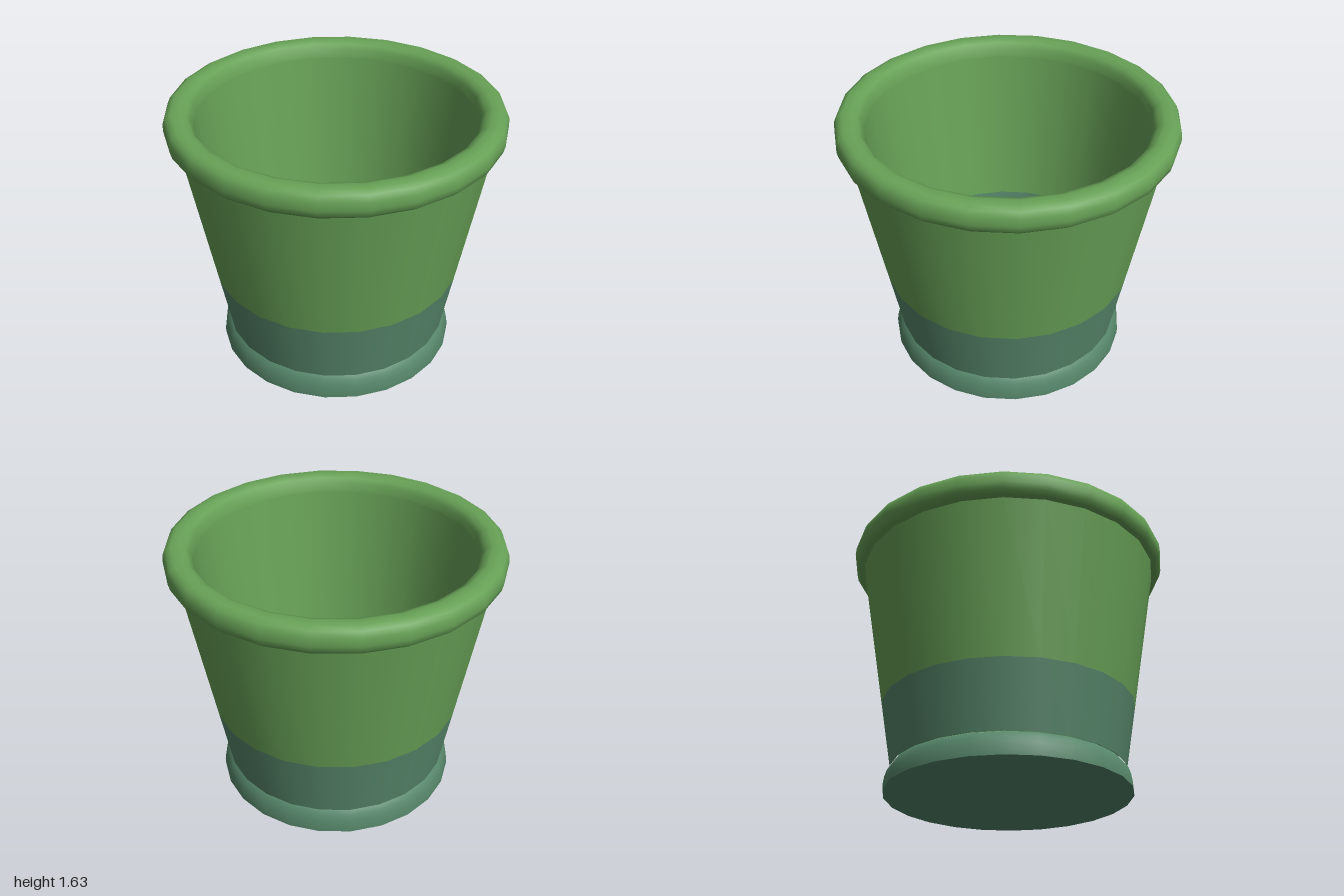
import * as THREE from 'three';

const SIDES = 24;

export function createModel() {
  const pot = new THREE.Group();
  pot.name = 'flowerPot';

  const green = new THREE.MeshStandardMaterial({ color: 0x68a257 });
  green.name = 'leafGreen';
  const teal = new THREE.MeshStandardMaterial({ color: 0x57876b });
  teal.name = 'mutedTeal';

  // Revolve a [radius, height] profile; separate parts keep hard creases
  function turn(name, material, profile) {
    const points = profile.map(([r, y]) => new THREE.Vector2(r, y));
    const mesh = new THREE.Mesh(new THREE.LatheGeometry(points, SIDES), material);
    mesh.name = name;
    pot.add(mesh);
  }

  // Foot: flat underside and rounded collar
  turn('underside', teal, [[0, 0], [0.742, 0]]);
  turn('footCollar', teal, [
    [0.742, 0], [0.742, 0.03], [0.735, 0.075], [0.722, 0.115], [0.7, 0.145], [0.69, 0.147],
  ]);

  // Tapered outer wall in two colours
  turn('lowerOuterWall', teal, [[0.705, 0.145], [0.776, 0.55]]);
  turn('upperOuterWall', green, [[0.776, 0.55], [0.937, 1.475]]);

  // Rolled rim
  turn('rim', green, [
    [0.93, 1.47], [0.965, 1.472], [0.99, 1.495], [1, 1.535], [0.997, 1.58],
    [0.982, 1.615], [0.95, 1.634], [0.9, 1.634], [0.865, 1.62], [0.842, 1.59], [0.832, 1.54],
  ]);

  // Inside wall, and floor with a soft corner
  turn('upperInnerWall', green, [[0.832, 1.54], [0.7, 0.55]]);
  turn('lowerInnerWall', teal, [
    [0.7, 0.55], [0.663, 0.25], [0.652, 0.215], [0.625, 0.2], [0, 0.2],
  ]);

  return pot;
}
